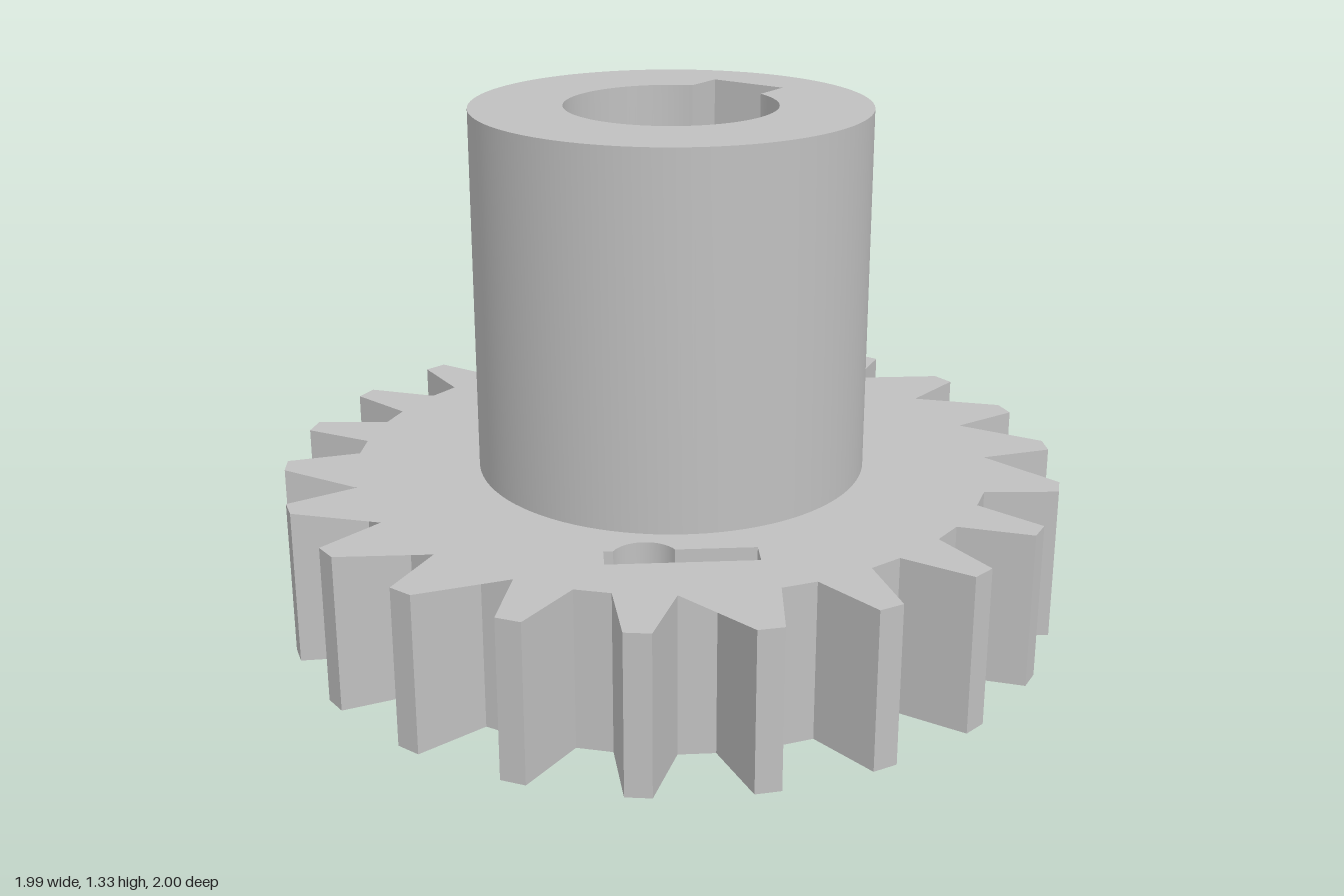
import * as THREE from 'three';
import { toCreasedNormals } from 'three/addons/utils/BufferGeometryUtils.js';

const TEETH = 22, TIP = 1.0, ROOT = 0.82, PITCH = 360 / TEETH, OFFSET = 1.6;
const GEAR_H = 0.4, HUB_TOP = 1.33, FLOOR = 0.008;

// Point at a clockwise angle from the back, in plan (x, -z)
const polar = (deg, r) => {
  const a = THREE.MathUtils.degToRad(deg);
  return new THREE.Vector2(Math.sin(a) * r, Math.cos(a) * r);
};

// Corners of tooth i: root, tip, tip, root
const tooth = (i) => {
  const c = OFFSET + i * PITCH;
  return [polar(c - 5.1, ROOT), polar(c - 1.8, TIP), polar(c + 1.8, TIP), polar(c + 5.1, ROOT)];
};

function gearShape() {
  const pts = [];
  for (let i = 0; i < TEETH; i++) pts.push(...tooth(i));
  return new THREE.Shape(pts.reverse());
}

// Round bore with a square keyway towards the back
function borePath() {
  const r = 0.267, w = 0.105, a = Math.acos(w / r);
  const p = new THREE.Path();
  p.moveTo(w, 0.35);
  p.lineTo(w, Math.sin(a) * r);
  p.absarc(0, 0, r, a, Math.PI - a, true);
  p.lineTo(-w, 0.35);
  p.closePath();
  return p;
}

// Narrow slot with a round bulge on its inner side; turn = 1 or -1
function slotPath(turn) {
  const L = 0.18, W = 0.035, u0 = 0.085, r = 0.08;
  const a = Math.asin(W / r), pts = [[-L, W], [-L, -W]];
  for (let k = 0; k <= 14; k++) {
    const t = Math.PI + a + (k / 14) * (Math.PI - 2 * a);
    pts.push([u0 + Math.cos(t) * r, Math.sin(t) * r]);
  }
  pts.push([L, -W], [L, W]);
  const c = 0.776, s = 0.63;
  return new THREE.Path(pts.map(([u, v]) => new THREE.Vector2(
    turn * (-0.376 + u * c - v * s), turn * (0.49 + u * s + v * c))));
}

function extrude(shape, y0, y1) {
  const g = new THREE.ExtrudeGeometry(shape, { depth: y1 - y0, bevelEnabled: false, curveSegments: 48 });
  g.rotateX(-Math.PI / 2);
  g.translate(0, y0, 0);
  return toCreasedNormals(g, 0.35);
}

// Thin triangular webs beside the tooth roots: 'b' on the next tooth, 'a' on the previous
function webs(code, y) {
  const pos = [];
  [...code].forEach((k, i) => {
    if (k === '-') return;
    const a = tooth(i), b = tooth(i + 1);
    const tri = k === 'b' ? [a[3], b[1], b[0]] : [a[3], a[2], b[0]];
    if (k === 'a') tri.reverse();
    if (THREE.ShapeUtils.area(tri) < 0) tri.reverse();
    tri.forEach((p) => pos.push(p.x, y, -p.y));
  });
  const g = new THREE.BufferGeometry();
  g.setAttribute('position', new THREE.Float32BufferAttribute(pos, 3));
  g.computeVertexNormals();
  return g;
}

export function createModel() {
  const group = new THREE.Group();
  const steel = new THREE.MeshStandardMaterial({ color: 0xc0c0c0, side: THREE.DoubleSide });
  steel.name = 'steelGrey';
  const add = (name, geometry) => {
    const m = new THREE.Mesh(geometry, steel);
    m.name = name;
    group.add(m);
  };

  // Toothed wheel with bore and two slots
  const wheel = gearShape();
  wheel.holes.push(borePath(), slotPath(1), slotPath(-1));
  add('gearWheel', extrude(wheel, FLOOR, GEAR_H));

  // Closed underside
  add('gearFloor', extrude(gearShape(), 0, FLOOR));

  // Webs at the top and bottom of the tooth gaps
  add('upperToothWebs', webs('bbbb----a-bbbb-----a-b', GEAR_H));
  add('lowerToothWebs', webs('----bbb-------bb------', 0));

  // Hub sleeve
  const hub = new THREE.Shape();
  hub.absarc(0, 0, 0.5, 0, Math.PI * 2, false);
  hub.holes.push(borePath());
  add('hub', extrude(hub, GEAR_H, HUB_TOP));

  return group;
}
